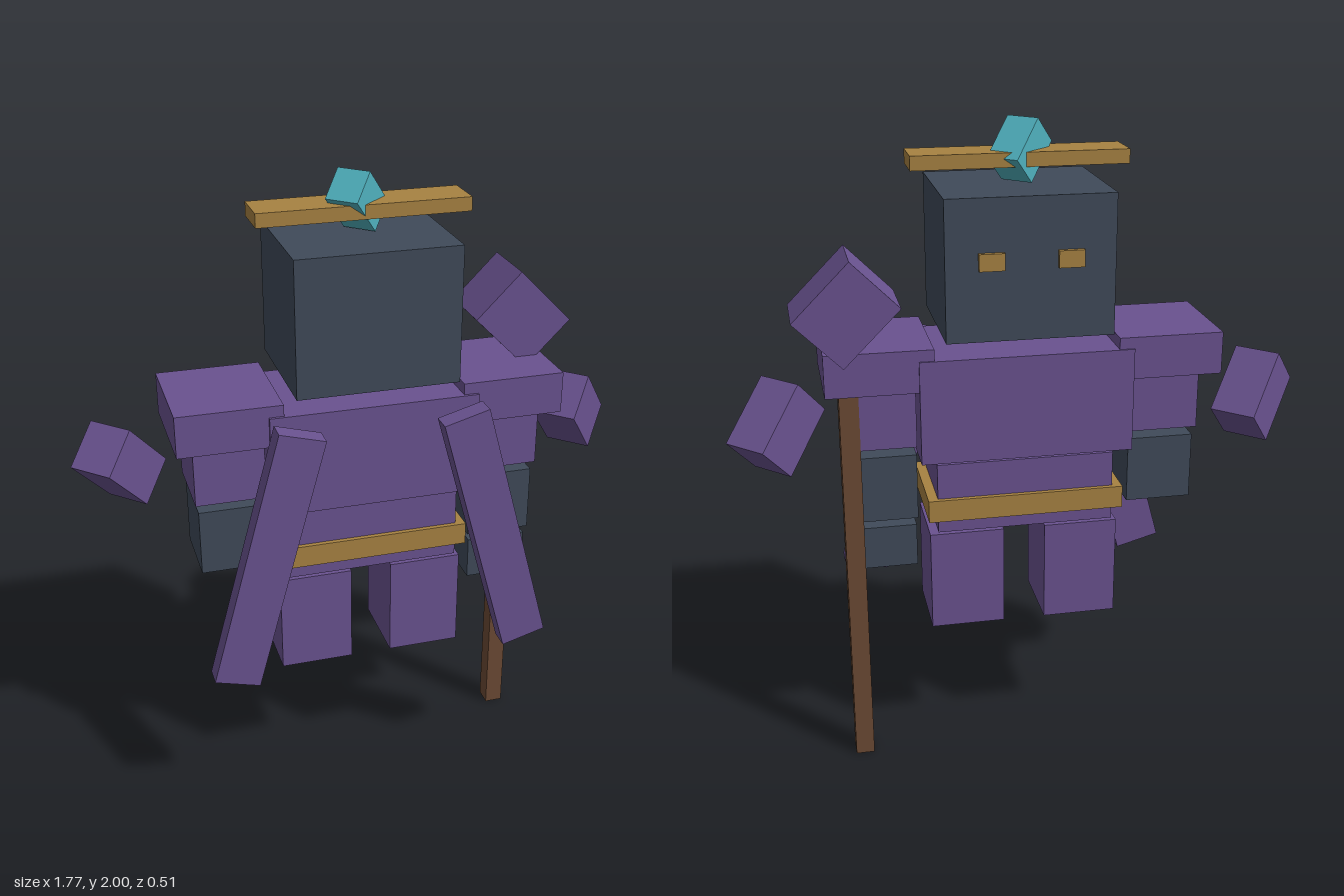
import * as THREE from 'three';

export function createModel() {
  const model = new THREE.Group();
  model.name = 'blockFigure';

  const mat = (name, color) => {
    const m = new THREE.MeshStandardMaterial({ color });
    m.name = name;
    return m;
  };
  const purple = mat('purple cloth', 0x69528f);
  const slate = mat('dark slate', 0x3f4a59);
  const gold = mat('gold', 0xa78242);
  const wood = mat('brown wood', 0x6b4a34);
  const teal = mat('teal crystal', 0x4fb0bd);

  // Box from its size and centre, with an optional turn (y first, then z)
  const block = (name, material, [w, h, d], [x, y, z], turnY = 0, turnZ = 0) => {
    const mesh = new THREE.Mesh(new THREE.BoxGeometry(w, h, d), material);
    mesh.name = name;
    mesh.position.set(x, y, z);
    mesh.rotation.set(0, turnY, turnZ, 'YXZ');
    model.add(mesh);
    return mesh;
  };
  const Q = Math.PI / 4;

  // Head and floating crown
  block('head', slate, [0.495, 0.415, 0.42], [0, 1.608, -0.027]);
  block('crownBar', gold, [0.64, 0.042, 0.135], [0, 1.89, -0.027]);
  block('crownCrystal', teal, [0.105, 0.15, 0.105], [-0.008, 1.91, -0.027], Q, Q);

  // Torso
  block('chest', purple, [0.645, 0.32, 0.36], [0, 1.18, -0.025]);
  block('waist', purple, [0.545, 0.222, 0.29], [0, 0.89, -0.025]);
  block('belt', gold, [0.605, 0.07, 0.32], [0, 0.855, -0.025]);

  // Paired parts
  for (const [s, side] of [[1, 'left'], [-1, 'right']]) {
    block(side + 'Eye', gold, [0.075, 0.05, 0.03], [s * 0.115, 1.635, -0.237]);
    block(side + 'ShoulderPad', purple, [0.32, 0.13, 0.345], [s * 0.437, 1.31, -0.027]);
    block(side + 'UpperArm', purple, [0.215, 0.2, 0.245], [s * 0.436, 1.157, -0.027]);
    block(side + 'Forearm', slate, [0.205, 0.208, 0.225], [s * 0.432, 0.924, -0.027]);
    block(side + 'Leg', purple, [0.23, 0.32, 0.25], [s * 0.18, 0.6, -0.022]);
    block(side + 'CapeStrip', purple, [0.145, 0.835, 0.065], [s * 0.36, 0.912, 0.222], 0, s * 0.27);
    block(side + 'FloatingShard', purple, [0.155, 0.23, 0.145], [s * 0.738, 1.137, -0.1], Q, Q);
  }

  // Left hand holding the staff
  block('leftHand', slate, [0.19, 0.135, 0.215], [0.43, 0.728, -0.027]);
  block('staff', wood, [0.058, 1.37, 0.06], [0.526, 0.685, -0.12]);
  block('staffHead', purple, [0.2, 0.24, 0.21], [0.526, 1.495, -0.12], 0, Q);

  return model;
}
